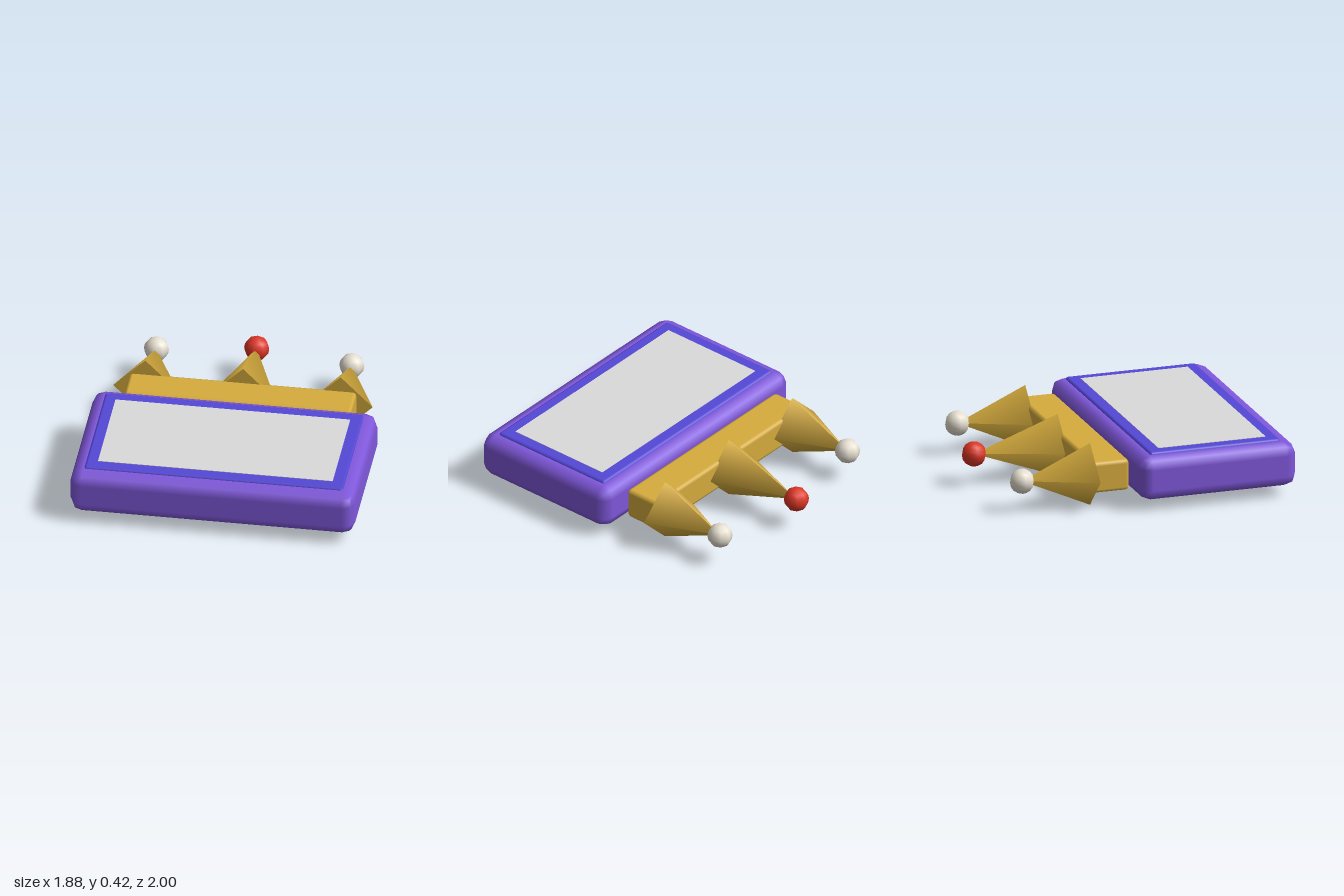
import * as THREE from 'three';
import { RoundedBoxGeometry } from 'three/addons/geometries/RoundedBoxGeometry.js';

const mat = (name, color) => {
  const m = new THREE.MeshStandardMaterial({ color });
  m.name = name;
  return m;
};

export function createModel() {
  const group = new THREE.Group();
  const purple = mat('purple', 0x8058dc);
  const blue = mat('blue', 0x5448d6);
  const grey = mat('screen grey', 0xdadada);
  const gold = mat('gold', 0xd6ac3e);
  const red = mat('red', 0xdc3626);
  const pearl = mat('pearl', 0xe6dfd0);
  const midY = 0.215; // height of the shared centre line

  const add = (name, geometry, material, x, y, z) => {
    const mesh = new THREE.Mesh(geometry, material);
    mesh.name = name;
    mesh.position.set(x, y, z);
    group.add(mesh);
    return mesh;
  };

  // Tablet body lying flat, with a raised bezel and a thin screen
  add('body', new RoundedBoxGeometry(1.88, 0.3, 1.08, 1, 0.08), purple, 0, midY + 0.005, 0.46);
  add('bezel', new RoundedBoxGeometry(1.71, 0.08, 0.9, 1, 0.018), blue, 0, 0.345, 0.455);
  add('screen', new THREE.BoxGeometry(1.55, 0.004, 0.74), grey, 0, 0.386, 0.457);

  // Crown band behind the body
  add('crownBand', new RoundedBoxGeometry(1.5, 0.21, 0.255, 1, 0.025), gold, 0, midY, -0.23);

  // Four-sided spikes pointing backwards, each tipped with a ball
  const baseZ = -0.34;
  for (const [side, x, ballZ, ballMat] of [
    ['right', -0.645, -0.81, pearl],
    ['centre', 0, -0.918, red],
    ['left', 0.645, -0.81, pearl],
  ]) {
    const length = baseZ - ballZ;
    const spike = new THREE.ConeGeometry(0.212, length, 4).rotateX(-Math.PI / 2);
    add(side + 'Spike', spike, gold, x, midY, baseZ - length / 2);
    add(side + 'Ball', new THREE.SphereGeometry(0.083, 8, 8), ballMat, x, midY, ballZ);
  }
  return group;
}
